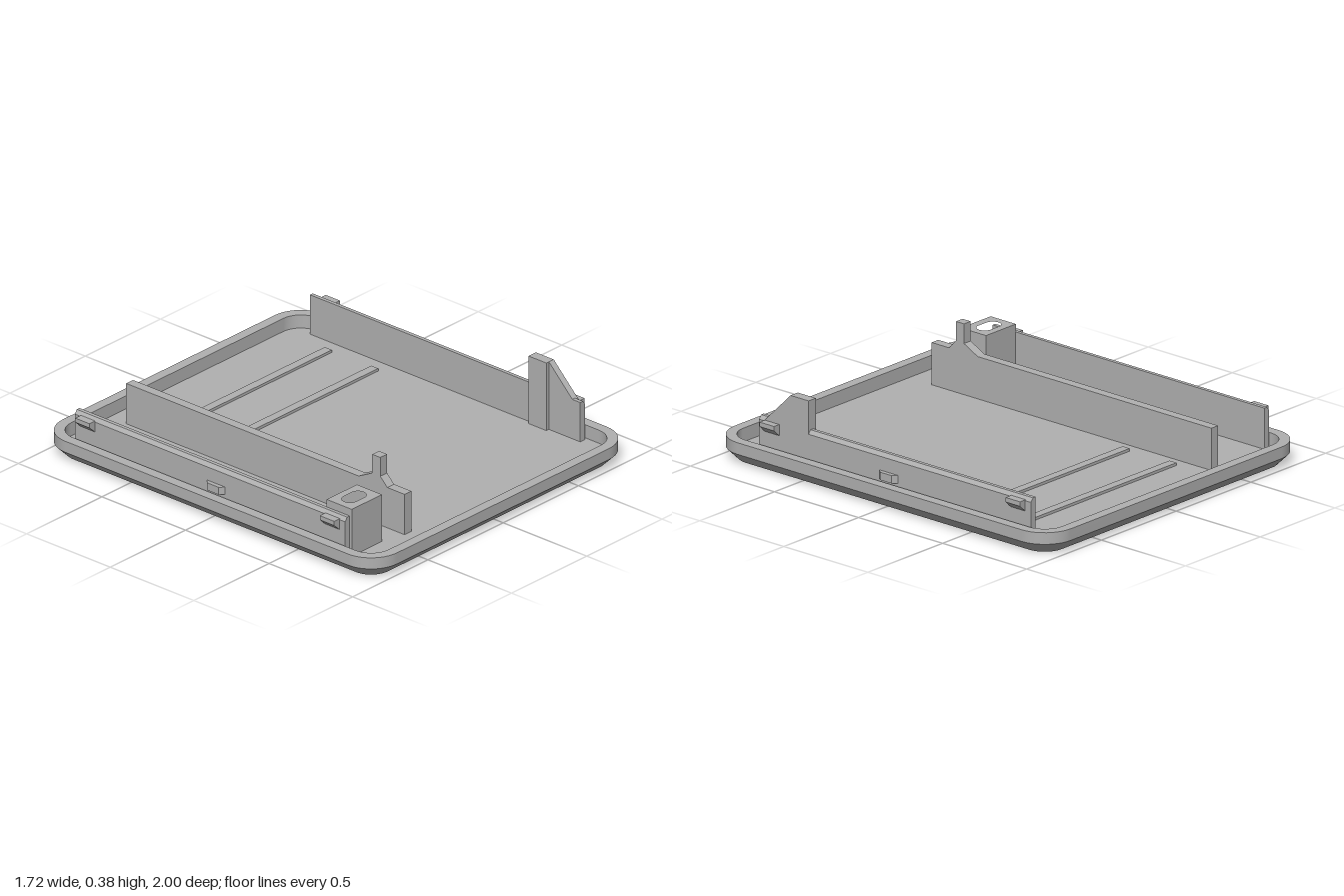
import * as THREE from 'three';

const FLOOR = 0.045;
const grey = new THREE.MeshStandardMaterial({ color: 0xb0b0b0 });
grey.name = 'plain grey';

// Rounded rectangle outline as [x, z] points
function rounded(hx, hz, r, cx = 0, cz = 0, n = 10) {
  const pts = [];
  [[1, 1], [-1, 1], [-1, -1], [1, -1]].forEach(([sx, sz], k) => {
    for (let i = 0; i <= n; i++) {
      const t = (k + i / n) * Math.PI / 2;
      pts.push([cx + sx * (hx - r) + r * Math.cos(t), cz + sz * (hz - r) + r * Math.sin(t)]);
    }
  });
  return pts;
}

// Closed band between two outlines at two heights
function band(lower, y0, upper, y1) {
  const n = lower.length, pos = [], idx = [];
  lower.forEach(([x, z]) => pos.push(x, y0, z));
  upper.forEach(([x, z]) => pos.push(x, y1, z));
  for (let i = 0; i < n; i++) {
    const j = (i + 1) % n;
    idx.push(i, n + i, j, j, n + i, n + j);
  }
  const g = new THREE.BufferGeometry();
  g.setAttribute('position', new THREE.Float32BufferAttribute(pos, 3));
  g.setIndex(idx);
  g.computeVertexNormals();
  return g;
}

// Shape from points; flip negates the second coordinate
function shapeOf(pts, hole, flip = 1) {
  const v = (list) => list.map(([a, b]) => new THREE.Vector2(a, b * flip));
  const s = new THREE.Shape(v(pts));
  if (hole) s.holes.push(new THREE.Path(v(hole)));
  return s;
}

const extrude = (shape, depth) => new THREE.ExtrudeGeometry(shape, { depth, bevelEnabled: false });

// Extrusions along each axis: [x,y] along z, [z,y] along x, [x,z] along y
const alongZ = (pts, z0, z1) => extrude(shapeOf(pts), z1 - z0).translate(0, 0, z0);
const alongX = (pts, x0, x1) => extrude(shapeOf(pts), x1 - x0).rotateY(-Math.PI / 2).translate(x1, 0, 0);
const alongY = (pts, y0, y1, hole) =>
  extrude(shapeOf(pts, hole, -1), y1 - y0).rotateX(-Math.PI / 2).translate(0, y0, 0);

function box(x0, x1, y0, y1, z0, z1) {
  return new THREE.BoxGeometry(x1 - x0, y1 - y0, z1 - z0)
    .translate((x0 + x1) / 2, (y0 + y1) / 2, (z0 + z1) / 2);
}

export function createModel() {
  const model = new THREE.Group();
  model.name = 'trayCover';
  const add = (name, geometry, parent = model) => {
    const m = new THREE.Mesh(geometry, grey);
    m.name = name;
    parent.add(m);
    return m;
  };

  // Shallow tray with a chamfered underside
  const tray = new THREE.Group();
  tray.name = 'tray';
  model.add(tray);
  const bottom = rounded(0.805, 0.945, 0.1);
  const outer = rounded(0.86, 1, 0.155);
  const inner = rounded(0.81, 0.95, 0.105);
  const slot = rounded(0.064, 0.0375, 0.037, -0.667, 0.708);
  add('underChamfer', band(bottom, 0, outer, 0.055), tray);
  add('outerSide', band(outer, 0.055, outer, 0.11), tray);
  add('rim', band(outer, 0.11, inner, 0.11), tray);
  add('innerSide', band(inner, 0.11, inner, FLOOR), tray);
  add('slotWall', band(slot, FLOOR, slot, 0), tray);
  add('floor', new THREE.ShapeGeometry(shapeOf(inner, slot, -1))
    .rotateX(-Math.PI / 2).translate(0, FLOOR, 0), tray);
  add('underside', new THREE.ShapeGeometry(shapeOf(bottom, slot)).rotateX(Math.PI / 2), tray);

  // Slotted block standing over the hole
  add('slottedBlock', alongY(
    [[-0.767, 0.635], [-0.567, 0.635], [-0.567, 0.785], [-0.767, 0.785]], FLOOR, 0.277, slot));

  // Low ribs across the floor
  for (const z of [-0.67, -0.392]) add('floorRib', box(-0.35, 0.693, FLOOR, 0.058, z - 0.021, z + 0.021));

  // Inner divider with its raised post
  add('divider', alongX([
    [-0.85, FLOOR], [0.815, FLOOR], [0.815, 0.245], [0.712, 0.245], [0.67, 0.287], [0.67, 0.38],
    [0.622, 0.38], [0.622, 0.287], [0.54, 0.245], [-0.85, 0.245],
  ], -0.45, -0.405));

  // Side walls with snap clips and locating bumps
  for (const s of [1, -1]) {
    const side = new THREE.Group();
    side.name = s > 0 ? 'leftSide' : 'rightSide';
    model.add(side);
    const mirror = (pts) => pts.map(([x, b]) => [s * x, b]);
    add('sideWall', alongZ(mirror(
      [[0.765, FLOOR], [0.797, FLOOR], [0.797, 0.222], [0.783, 0.24], [0.765, 0.24]]), -0.845, 0.772), side);
    for (const z of [-0.768, 0.695]) {
      add('snapClip', alongZ(mirror(
        [[0.79, 0.173], [0.797, 0.173], [0.832, 0.205], [0.832, 0.226], [0.79, 0.226]]), z - 0.043, z + 0.043), side);
    }
    add('locatingBump', alongY(mirror(
      [[0.79, -0.055], [0.797, -0.055], [0.818, -0.035], [0.818, 0.035], [0.797, 0.055], [0.79, 0.055]]),
      0.12, 0.157), side);
  }

  // Tall support on the left wall with a sloping brace
  add('supportColumn', box(0.748, 0.797, FLOOR, 0.38, 0.478, 0.585));
  add('supportBrace', alongX([[0.58, 0.2], [0.765, 0.2], [0.585, 0.38], [0.58, 0.38]], 0.765, 0.797));

  return model;
}
